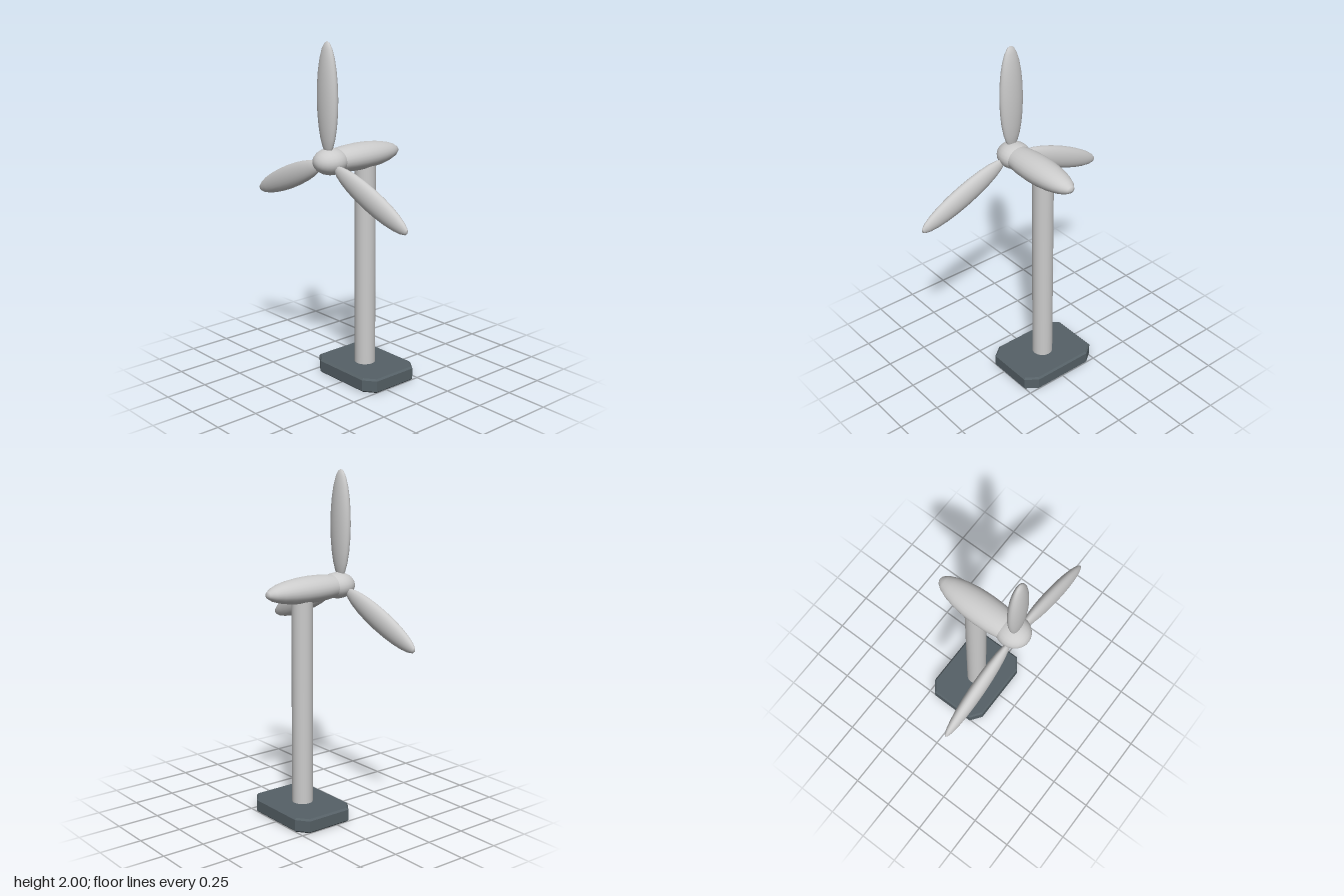
import * as THREE from 'three';

const grey = new THREE.MeshStandardMaterial({ color: 0xcccccc });
const slate = new THREE.MeshStandardMaterial({ color: 0x566167, flatShading: true });

const HUB_Y = 1.34;
const ROTOR_Z = 0.217;

// Ellipsoid with its poles along y
function ellipsoid(rx, ry, rz) {
  return new THREE.SphereGeometry(1, 24, 12).scale(rx, ry, rz);
}

function part(name, geometry, material, x, y, z) {
  const mesh = new THREE.Mesh(geometry, material);
  mesh.name = name;
  mesh.position.set(x, y, z);
  return mesh;
}

// Slab with cut corners and a fine bevel on its top and bottom edges
function baseGeometry(hx, hz, cutX, cutZ, height, bevel) {
  const outline = [
    [hx, -hz + cutZ], [hx, hz - cutZ], [hx - cutX, hz], [-hx + cutX, hz],
    [-hx, hz - cutZ], [-hx, -hz + cutZ], [-hx + cutX, -hz], [hx - cutX, -hz],
  ].map(([x, y]) => new THREE.Vector2(x, y));
  const geometry = new THREE.ExtrudeGeometry(new THREE.Shape(outline), {
    depth: height - 2 * bevel,
    bevelSize: bevel, bevelThickness: bevel, bevelOffset: -bevel, bevelSegments: 1,
  });
  return geometry.rotateX(-Math.PI / 2).translate(0, bevel, 0);
}

export function createModel() {
  const model = new THREE.Group();
  model.name = 'windTurbine';

  // Foundation and tower
  model.add(part('base', baseGeometry(0.257, 0.193, 0.07, 0.052, 0.085, 0.01), slate, 0, 0, -0.062));
  const tower = new THREE.CylinderGeometry(0.061, 0.061, 1.25, 32);
  model.add(part('tower', tower, grey, 0, 0.705, -0.058));

  // Housing and hub, both with their poles along z
  const housing = ellipsoid(0.095, 0.303, 0.077).rotateX(Math.PI / 2);
  model.add(part('housing', housing, grey, 0, HUB_Y, 0));
  const hub = ellipsoid(0.095, 0.104, 0.075).rotateX(Math.PI / 2);
  model.add(part('hub', hub, grey, 0, HUB_Y, 0.198));

  // Three blades: one upright, two drooping sideways
  const rotor = new THREE.Group();
  rotor.name = 'rotor';
  rotor.position.set(0, HUB_Y, ROTOR_Z);
  const droop = THREE.MathUtils.degToRad(113);
  const blades = [
    ['upperBlade', 0, 0.077, 0.31, 0.35],
    ['leftBlade', -droop, 0.068, 0.313, 0.374],
    ['rightBlade', droop, 0.068, 0.313, 0.374],
  ];
  for (const [name, angle, halfWidth, halfLength, reach] of blades) {
    const geometry = ellipsoid(halfWidth, halfLength, 0.04).translate(0, reach, 0);
    const blade = part(name, geometry, grey, 0, 0, 0);
    blade.rotation.z = angle;
    rotor.add(blade);
  }
  model.add(rotor);

  return model;
}
